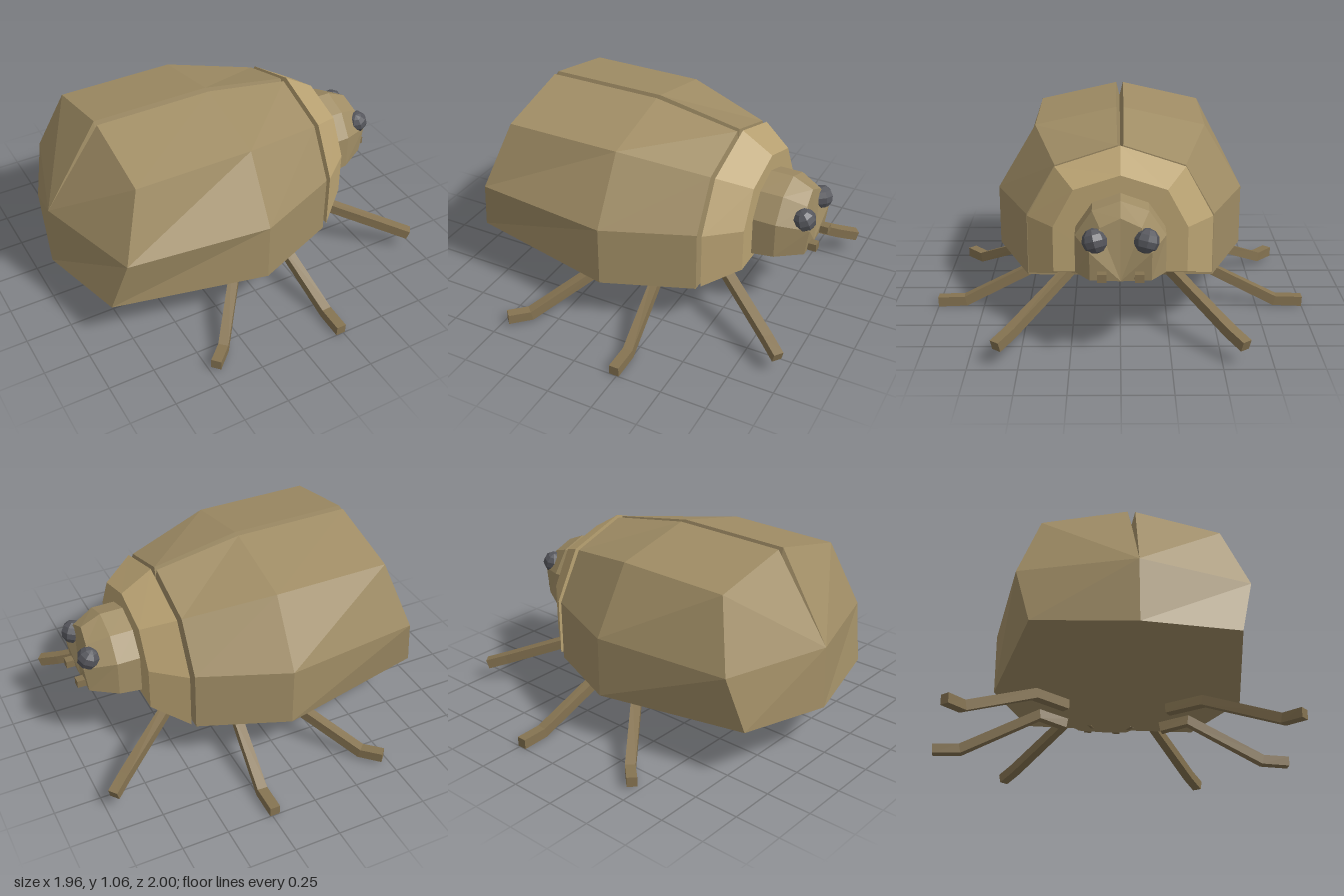
import * as THREE from 'three';

const material = (color) => new THREE.MeshStandardMaterial({ color, flatShading: true });

// Skin a list of closed rings (each a list of Vector3) and cap both ends.
function skin(rings) {
  const pos = [];
  const tri = (a, b, c) => {
    const area = b.clone().sub(a).cross(c.clone().sub(a)).length();
    if (area > 1e-7) for (const p of [a, b, c]) pos.push(p.x, p.y, p.z);
  };
  const n = rings[0].length;
  for (let i = 0; i < rings.length - 1; i++) {
    const r = rings[i], s = rings[i + 1];
    for (let k = 0; k < n; k++) {
      const m = (k + 1) % n;
      tri(r[k], r[m], s[k]);
      tri(r[m], s[m], s[k]);
    }
  }
  // caps fan out from the opposite point of each ring
  const first = rings[0], last = rings[rings.length - 1], h = n / 2;
  for (let k = 0; k < n; k++) {
    const m = (k + 1) % n;
    tri(last[h], last[k], last[m]);
    tri(first[h], first[m], first[k]);
  }
  const g = new THREE.BufferGeometry();
  g.setAttribute('position', new THREE.Float32BufferAttribute(pos, 3));
  g.computeVertexNormals();
  return g;
}

// Full ring from its +z half; first and last points lie on the middle plane.
function mirrorRing(half) {
  const pts = half.map((p) => new THREE.Vector3(...p));
  const other = half.slice(1, -1).reverse().map(([x, y, z]) => new THREE.Vector3(x, y, -z));
  return [...pts, ...other];
}

// Arched cross-section: top height, shoulder, side and base.
function arch(x, top, shoulderZ, shoulderY, sideZ, sideY, base) {
  return mirrorRing([
    [x, top, 0], [x, shoulderY, shoulderZ], [x, sideY, sideZ], [x, base, sideZ], [x, base, 0],
  ]);
}

// Square bar following a bent path.
function bar(path, r) {
  const p = path.map((q) => new THREE.Vector3(...q));
  const up = new THREE.Vector3(0, 1, 0);
  return skin(p.map((c, i) => {
    const t = new THREE.Vector3();
    if (i > 0) t.add(c.clone().sub(p[i - 1]).normalize());
    if (i < p.length - 1) t.add(p[i + 1].clone().sub(c).normalize());
    t.normalize();
    const s = t.clone().cross(up).normalize();
    const u = s.clone().cross(t);
    return [[1, 1], [-1, 1], [-1, -1], [1, -1]].map(([a, b]) =>
      c.clone().addScaledVector(u, a * r).addScaledVector(s, b * r));
  }));
}

export function createModel() {
  const group = new THREE.Group();
  const shellMat = material(0xa08d65);
  const collarMat = material(0xb9a272);
  const legMat = material(0x857351);
  const eyeMat = material(0x55565c);
  const add = (name, geometry, mat) => {
    const mesh = new THREE.Mesh(geometry, mat);
    mesh.name = name;
    group.add(mesh);
    return mesh;
  };

  // Wing case with a V groove down the middle, closing to a point at the tail
  const tail = [-0.97, 0.615, 0], tailBase = [-0.98, 0.275, 0];
  add('wingCase', skin([
    [tail, tail, tail, tail, tailBase, tailBase],
    [[-0.67, 0.99, 0], [-0.67, 1.07, 0.02], [-0.67, 0.97, 0.465], [-0.79, 0.61, 0.585], [-0.86, 0.31, 0.515], [-0.86, 0.28, 0]],
    [[-0.03, 0.99, 0], [-0.03, 1.07, 0.02], [-0.03, 0.97, 0.465], [-0.03, 0.615, 0.675], [-0.03, 0.285, 0.675], [-0.03, 0.28, 0]],
    [[0.44, 0.92, 0], [0.44, 0.985, 0.015], [0.44, 0.88, 0.335], [0.44, 0.615, 0.485], [0.44, 0.28, 0.485], [0.44, 0.275, 0]],
  ].map(mirrorRing)), shellMat);

  // Waist joining wing case and collar
  add('waist', skin([
    arch(0.42, 0.85, 0.2, 0.79, 0.3, 0.62, 0.41),
    arch(0.5, 0.85, 0.2, 0.79, 0.3, 0.62, 0.41),
  ]), legMat);

  // Collar plate behind the head
  add('collar', skin([
    arch(0.465, 0.99, 0.335, 0.88, 0.48, 0.615, 0.3),
    arch(0.635, 0.885, 0.235, 0.81, 0.34, 0.615, 0.375),
  ]), collarMat);

  // Head with a sloping face
  add('head', skin([
    arch(0.62, 0.795, 0.14, 0.745, 0.225, 0.62, 0.405),
    arch(0.76, 0.795, 0.14, 0.745, 0.225, 0.62, 0.425),
    mirrorRing([
      [0.87, 0.745, 0], [0.88, 0.7, 0.1], [0.92, 0.59, 0.15], [0.9, 0.44, 0.15], [0.9, 0.435, 0],
    ]),
  ]), shellMat);

  // Leg paths on the +z side
  const legs = {
    frontLeg: [[0.4, 0.3, 0.1], [0.47, 0.325, 0.26], [0.87, 0.155, 0.54], [0.96, 0.12, 0.61]],
    middleLeg: [[0.24, 0.22, 0.27], [0.19, 0.25, 0.42], [0.235, 0.045, 0.85], [0.235, 0.04, 1]],
    rearLeg: [[0.03, 0.25, 0.28], [-0.1, 0.255, 0.46], [-0.38, 0.055, 0.82], [-0.47, 0.055, 0.905]],
  };

  for (const [side, s] of [['Right', 1], ['Left', -1]]) {
    for (const [name, path] of Object.entries(legs)) {
      add(name + side, bar(path.map(([x, y, z]) => [x, y, z * s]), 0.027), legMat);
    }

    // Faceted eye
    const eye = add('eye' + side, new THREE.SphereGeometry(0.063, 8, 6), eyeMat);
    eye.position.set(0.88, 0.635, 0.125 * s);
    eye.rotation.set(0.25 * s, 0, 0.3);

    // Small mouth feeler
    const feeler = add('feeler' + side, new THREE.BoxGeometry(0.08, 0.042, 0.045), legMat);
    feeler.position.set(0.91, 0.468, 0.09 * s);
  }
  return group;
}
